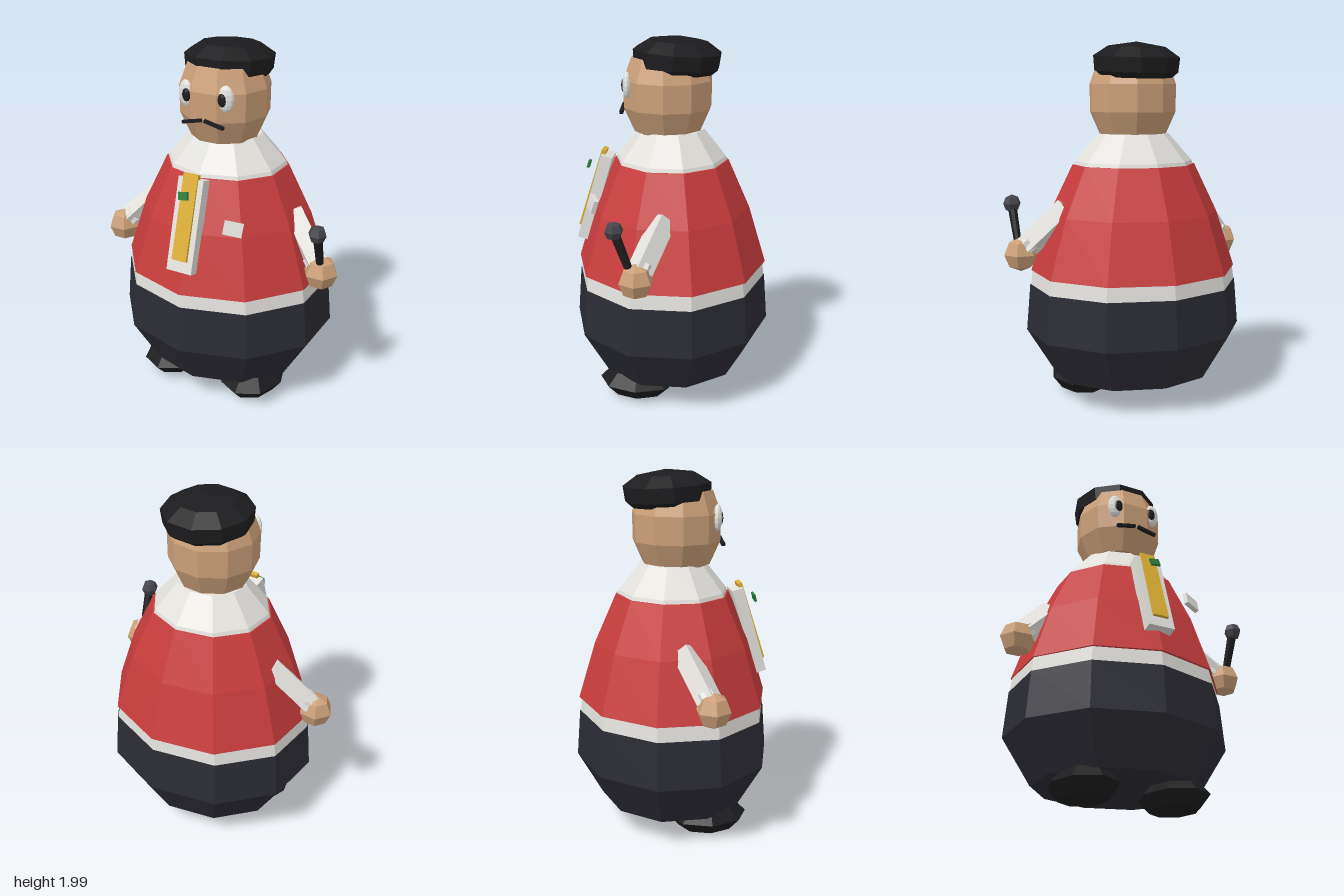
import * as THREE from 'three';

const mat = (color) => new THREE.MeshStandardMaterial({ color, flatShading: true });

export function createModel() {
  const model = new THREE.Group();
  model.name = 'roundMan';
  const red = mat(0xc83c3c), navy = mat(0x2b2b34), white = mat(0xe2e1dc), skin = mat(0xcb9f78);
  const black = mat(0x1c1c1e), yellow = mat(0xdcae33), green = mat(0x2a7a3a), grey = mat(0x43434a);

  const add = (name, geometry, material, x = 0, y = 0, z = 0, parent = model) => {
    const mesh = new THREE.Mesh(geometry, material);
    mesh.name = name;
    mesh.position.set(x, y, z);
    parent.add(mesh);
    return mesh;
  };
  // Ten-sided turned shape from [radius, y] pairs, bottom to top
  const turned = (pairs, start = 0) =>
    new THREE.LatheGeometry(pairs.map(([r, y]) => new THREE.Vector2(r, y)), 10, start);
  const ball = (rx, ry, rz, w = 6, h = 4) => new THREE.SphereGeometry(1, w, h).scale(rx, ry, rz);
  // Lays a mesh built along y between two points
  const between = (mesh, a, b) => {
    const dir = b.clone().sub(a).normalize();
    mesh.position.copy(a).add(b).multiplyScalar(0.5);
    mesh.quaternion.setFromUnitVectors(new THREE.Vector3(0, 1, 0), dir);
    return mesh;
  };

  // Body: wide oval rings
  const wide = 1.12;
  add('trousers', turned([[0, 0.15], [0.41, 0.15], [0.55, 0.4], [0.53, 0.66], [0, 0.66]]), navy).scale.x = wide;
  add('shirtHem', turned([[0.527, 0.655], [0.515, 0.75]]), white).scale.x = wide;
  add('jacket', turned([[0.49, 0.74], [0.532, 0.74], [0.435, 1.06], [0.315, 1.33], [0.27, 1.33]]), red).scale.x = 1.1;
  add('shirtCollar', turned([[0.31, 1.32], [0.3, 1.35], [0.18, 1.5], [0, 1.5]]), white).scale.x = 1.1;

  // Head and beret, with a flat side to the front
  add('head', turned([[0, 1.47], [0.185, 1.49], [0.243, 1.62], [0.245, 1.77], [0.2, 1.89], [0, 1.93]], Math.PI / 2),
    skin, 0, 0, 0.02);
  const beret = add('beret', turned([[0, -0.08], [0.2, -0.08], [0.235, -0.05], [0.243, 0.03], [0.16, 0.085], [0, 0.11]], Math.PI / 2),
    black, 0, 1.89, -0.03);
  beret.rotation.x = -0.06;

  for (const s of [-1, 1]) {
    const side = s > 0 ? 'left' : 'right';
    const eye = add(side + 'Eye', ball(0.044, 0.072, 0.025, 10, 8), white, s * 0.118, 1.75, 0.226);
    eye.rotation.y = s * 0.15;
    add(side + 'Pupil', ball(0.025, 0.036, 0.012, 8, 6), black, s * 0.105, 1.747, 0.247);
    const whisker = add(side + 'Moustache', new THREE.BoxGeometry(0.115, 0.016, 0.02), black, s * 0.065, 1.616, 0.259);
    whisker.rotation.z = -s * 0.22;

    // Sleeve, cuff and hand
    const shoulder = new THREE.Vector3(s * 0.4, 1.1, 0), wrist = new THREE.Vector3(s * 0.6, 0.885, 0.1);
    between(add(side + 'Sleeve', new THREE.BoxGeometry(0.1, shoulder.distanceTo(wrist), 0.1), white), shoulder, wrist);
    const cuff = wrist.clone().lerp(shoulder, 0.12);
    between(add(side + 'Cuff', new THREE.CylinderGeometry(0.062, 0.062, 0.05, 6), white), cuff, wrist);
    add(side + 'Hand', ball(0.095, 0.095, 0.095), skin, s * 0.63, 0.845, 0.115);

    add(side + 'Shoe', ball(0.178, 0.095, 0.222, 8, 4), black, s * 0.258, 0.1, 0.157);
  }

  // Shirt front panel, tie and pin, leaning with the belly
  const lean = -0.29;
  add('shirtFront', new THREE.BoxGeometry(0.15, 0.5, 0.065), white, 0, 1.105, 0.425).rotation.x = lean;
  add('tie', new THREE.BoxGeometry(0.088, 0.46, 0.025), yellow, 0, 1.155, 0.442).rotation.x = lean - 0.02;
  add('tiePin', new THREE.BoxGeometry(0.055, 0.042, 0.012), green, 0, 1.285, 0.465).rotation.set(lean, 0, 0.15);

  // Breast pocket
  add('pocket', new THREE.BoxGeometry(0.1, 0.072, 0.025), white, 0.255, 1.13, 0.4).rotation.set(lean, 0.43, -0.06);

  // Microphone held in the left hand
  const grip = new THREE.Vector3(0.635, 0.86, 0.13), tip = new THREE.Vector3(0.645, 1.1, 0.215);
  between(add('microphoneHandle', new THREE.CylinderGeometry(0.026, 0.02, grip.distanceTo(tip), 8), black), grip, tip);
  add('microphoneHead', ball(0.05, 0.05, 0.05), grey, 0.645, 1.115, 0.22);

  return model;
}
